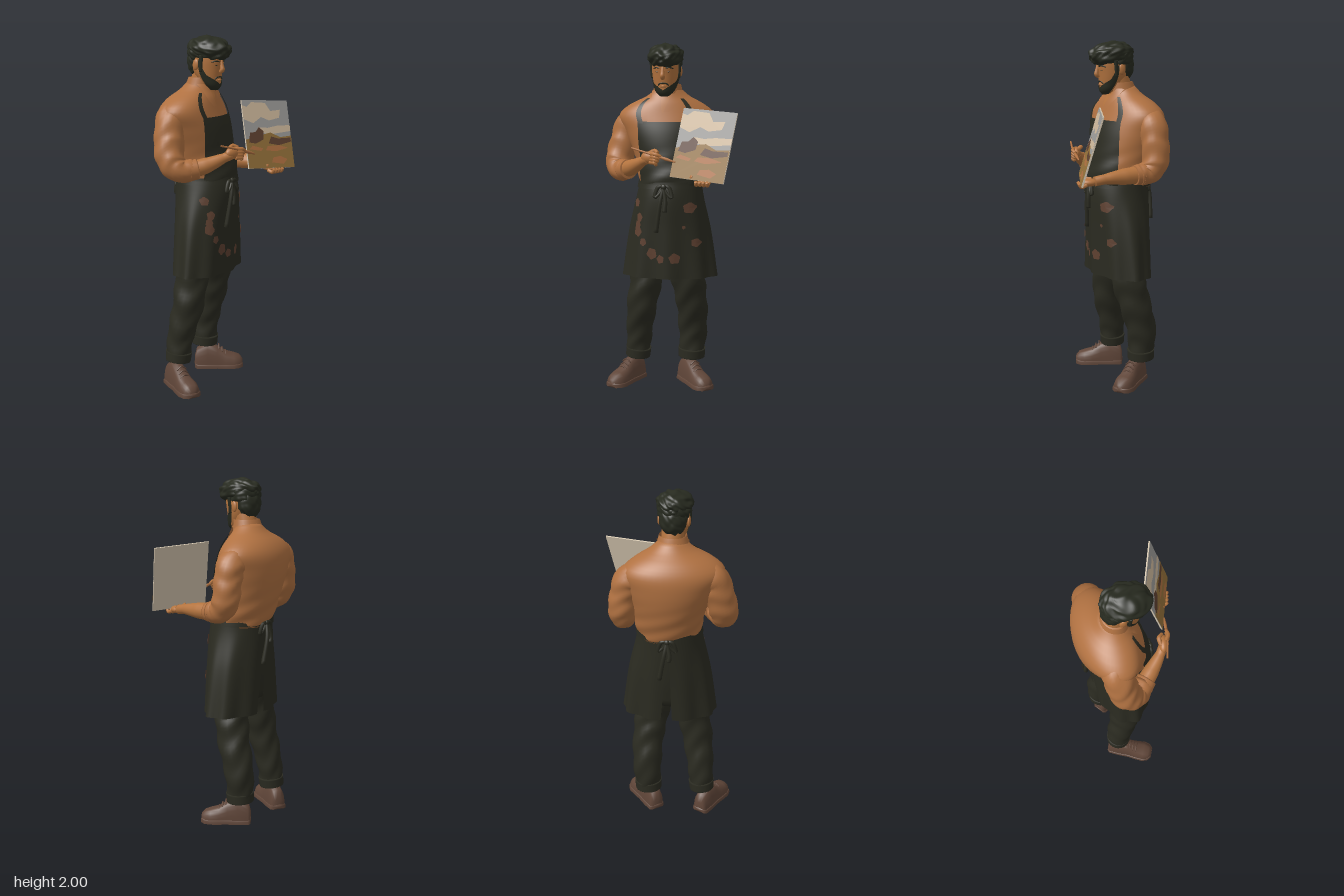
import * as THREE from 'three';
import { mergeVertices } from 'three/addons/utils/BufferGeometryUtils.js';

const V = (x, y, z) => new THREE.Vector3(x, y, z);
const RAD = Math.PI / 180;
const mat = (name, color) => Object.assign(new THREE.MeshStandardMaterial({ color, side: THREE.DoubleSide }), { name });

export function createModel() {
  const model = new THREE.Group();
  model.name = 'painter';
  const M = {
    shirt: mat('shirt tan', 0xb07141), skin: mat('skin', 0xb4743f), cloth: mat('dark cloth', 0x2b2b21),
    hair: mat('hair', 0x282b20), shoe: mat('shoe leather', 0x604639), brown: mat('paint brown', 0x5f4131),
    sky: mat('sky grey', 0x9c9b98), cream: mat('cloud cream', 0xcfb99c), ochre: mat('field ochre', 0x94713a),
    board: mat('board beige', 0xd8c9b2),
  };
  const add = (name, geo, material, parent = model) => {
    const m = new THREE.Mesh(geo, material);
    m.name = name;
    parent.add(m);
    return m;
  };

  // Surface through rows of points
  function skin(rows, closed = true, cap = true) {
    const n = rows[0].length, pos = [], idx = [];
    rows.forEach(r => r.forEach(p => pos.push(p.x, p.y, p.z)));
    for (let i = 0; i < rows.length - 1; i++) {
      for (let j = 0; j < (closed ? n : n - 1); j++) {
        const a = i * n + j, b = i * n + (j + 1) % n;
        idx.push(a, a + n, b, b, a + n, b + n);
      }
    }
    if (closed && cap) {
      [0, rows.length - 1].forEach(i => {
        const c = rows[i].reduce((s, p) => s.add(p), V(0, 0, 0)).divideScalar(n), k = pos.length / 3;
        pos.push(c.x, c.y, c.z);
        for (let j = 0; j < n; j++) {
          const a = i * n + j, b = i * n + (j + 1) % n;
          if (i) idx.push(k, b, a); else idx.push(k, a, b);
        }
      });
    }
    const g = new THREE.BufferGeometry();
    g.setAttribute('position', new THREE.Float32BufferAttribute(pos, 3));
    g.setIndex(idx);
    g.computeVertexNormals();
    return g;
  }

  // Round body from rings [y, centre x, centre z, half width, half depth]; 90 degrees is its front
  function body(rings, yaw = 0, fold = () => 0) {
    const f = new THREE.CubicInterpolant(rings.map(r => r[0]), rings.flatMap(r => r.slice(1)), 4, new Float32Array(4));
    const c = Math.cos(yaw * RAD), s = Math.sin(yaw * RAD);
    return (y, deg, off = 0) => {
      const [cx, cz, a, b] = f.evaluate(y), o = off + fold(y, deg);
      const x = Math.max(a + o, 0.002) * Math.cos(deg * RAD), z = Math.max(b + o, 0.002) * Math.sin(deg * RAD);
      return V(cx + x * c + z * s, y, cz - x * s + z * c);
    };
  }
  const loft = (surf, y0, y1, rows = 30, n = 48) => skin(Array.from({ length: rows + 1 }, (_, i) =>
    Array.from({ length: n }, (_, j) => surf(y0 + (y1 - y0) * i / rows, j * 360 / n))));
  // Part of a body: angle limits depend on height t, and top height may depend on angle
  const patch = (surf, a0, a1, y0, y1, off, rows = 16, n = 24) => skin(Array.from({ length: rows + 1 }, (_, i) =>
    Array.from({ length: n + 1 }, (_, j) => {
      const t = i / rows, deg = a0(t) + (a1(t) - a0(t)) * j / n;
      const top = typeof y1 === 'function' ? y1(deg) : y1;
      return surf(y0 + (top - y0) * t, deg, off);
    })), false);

  // Limb along points [x, y, z, radius]
  function limb(pts, n = 16, wrinkle = 0) {
    const curve = new THREE.CatmullRomCurve3(pts.map(p => V(p[0], p[1], p[2])));
    const steps = (pts.length - 1) * 8, fr = curve.computeFrenetFrames(steps);
    return skin(Array.from({ length: steps + 1 }, (_, i) => {
      const t = i / steps, k = t * (pts.length - 1), q = Math.min(Math.floor(k), pts.length - 2);
      const r = THREE.MathUtils.lerp(pts[q][3], pts[q + 1][3], k - q), c = curve.getPoint(t);
      return Array.from({ length: n }, (_, j) => {
        const a = j / n * Math.PI * 2, w = r * (1 + wrinkle * Math.sin(k * 7 + 2 * Math.sin(a * 2) + a));
        return c.clone().addScaledVector(fr.normals[i], w * Math.cos(a)).addScaledVector(fr.binormals[i], -w * Math.sin(a));
      });
    }));
  }
  const blob = (name, material, p, s, parent = model) => {
    const m = add(name, new THREE.SphereGeometry(1, 24, 16), material, parent);
    m.position.set(...p);
    m.scale.set(...s);
    return m;
  };

  // Shirt
  const torso = body([[1.18, -.045, -.02, .175, .165], [1.25, -.048, -.03, .19, .176], [1.35, -.06, -.05, .205, .18], [1.5, -.082, -.068, .253, .178],
    [1.6, -.095, -.074, .275, .155], [1.66, -.09, -.065, .205, .125], [1.7, -.078, -.053, .125, .092], [1.75, -.07, -.04, .066, .064]], 25,
    (y, d) => .004 * Math.sin(y * 60 + d * .08) * Math.max(0, 1.45 - y) * 4);
  add('shirt', loft(torso, 1.18, 1.75), M.shirt);
  const vee = t => 1 + 9 * t + 24 * t ** 4;
  add('chest', patch(torso, t => 95 - vee(t), t => 95 + vee(t), 1.61, 1.745, .005), M.skin);
  for (const s of [-1, 1]) add('collarFlap', patch(torso, t => 95 + s * vee(t), t => 95 + s * (vee(t) + 6 + 24 * t), 1.615, 1.735, .016), M.shirt);
  const collar = body([[1.68, -.077, -.05, .1, .09], [1.72, -.072, -.035, .083, .078], [1.77, -.068, -.025, .07, .068]], 22);
  add('collar', patch(collar, t => 126 - 6 * t, t => 424 + 6 * t, 1.68, 1.77, .005), M.shirt);

  // Sleeves with rolled cuffs, then forearms
  add('rightSleeve', limb([[-.2, 1.58, -.06, .075], [-.295, 1.55, -.01, .084], [-.327, 1.45, .012, .084], [-.347, 1.34, .045, .081],
    [-.327, 1.285, .09, .068], [-.255, 1.285, .13, .058]], 24, .035), M.shirt);
  add('rightCuff', limb([[-.275, 1.283, .122, .061], [-.235, 1.29, .145, .056]], 20), M.shirt);
  add('rightForearm', limb([[-.29, 1.28, .11, .05], [-.2, 1.305, .165, .045], [-.11, 1.345, .215, .027], [-.07, 1.36, .23, .026]]), M.skin);
  add('leftSleeve', limb([[.03, 1.57, -.15, .075], [.118, 1.54, -.176, .082], [.15, 1.45, -.186, .078], [.165, 1.34, -.187, .077],
    [.175, 1.285, -.15, .068], [.195, 1.275, -.085, .058]], 24, .035), M.shirt);
  add('leftCuff', limb([[.19, 1.275, -.1, .061], [.203, 1.273, -.06, .054]], 20), M.shirt);
  add('leftForearm', limb([[.19, 1.275, -.1, .05], [.222, 1.27, 0, .046], [.258, 1.265, .11, .028], [.265, 1.255, .17, .027]]), M.skin);

  // Hands
  blob('rightPalm', M.skin, [-.06, 1.37, .232], [.05, .034, .026]);
  blob('leftPalm', M.skin, [.262, 1.25, .2], [.034, .022, .048]);
  for (let i = 0; i < 4; i++) {
    const y = 1.392 - i * .016, x = .222 + i * .022;
    add('rightFinger', limb([[-.05, y, .243, .012], [-.01, y - .003, .255, .011], [.018 - i * .01, y - .014, .243, .009]], 8), M.skin);
    add('leftFinger', limb([[x, 1.24, .215, .011], [x + .008, 1.232, .245, .011], [x + .01, 1.25, .258, .009]], 8), M.skin);
  }
  add('rightThumb', limb([[-.075, 1.385, .22, .013], [-.04, 1.405, .205, .012], [-.012, 1.395, .222, .01]], 8), M.skin);
  add('leftThumb', limb([[.235, 1.26, .18, .013], [.205, 1.265, .215, .011], [.195, 1.275, .24, .009]], 8), M.skin);
  add('brush', limb([[-.16, 1.42, .25, .005], [-.04, 1.39, .252, .006], [.05, 1.364, .241, .009], [.1, 1.35, .235, .004]], 8), M.shirt);

  // Apron
  const skirt = body([[.66, -.045, -.007, .274, .155], [.95, -.045, -.008, .234, .167], [1.15, -.045, -.008, .19, .175],
    [1.22, -.045, -.015, .178, .171]], 20, (y, d) => .018 * Math.sin(d * RAD * 9) * Math.max(0, 1.15 - y));
  add('apronSkirt', patch(skirt, t => 279 - 8 * t, t => 625 + 4 * t, .668, 1.22, 0, 20, 90), M.cloth);
  add('waistband', patch(skirt, () => 0, () => 360, 1.185, 1.225, .007, 4, 60), M.cloth);
  add('apronBib', patch(torso, t => 40 + 18 * t, t => 156 - 30 * t, 1.2, 1.56, .012), M.cloth);
  add('rightStrap', patch(torso, t => 119 + 2 * t + 10 * t * t, t => 126 + t + 12 * t * t, 1.55, 1.69, .012, 12, 4), M.cloth);
  add('leftStrap', patch(torso, t => 58 - 2 * t, t => 65 - t, 1.55, 1.69, .012, 12, 4), M.cloth);
  // Bows and hanging ties, front and back
  for (const [name, deg, end, hang] of [['front', 97, .94, .008], ['back', 271, .97, .03]]) {
    const p = (d, y, off, r) => [...skirt(y, deg + d, off).toArray(), r];
    for (const s of [-1, 1]) {
      add(name + 'BowLoop', limb([p(0, 1.205, .008, .007), p(s * 9, 1.2, .01, .011), p(s * 14, 1.14, .008, .011), p(s * 7, 1.16, .008, .008), p(0, 1.2, .008, .007)], 8), M.cloth);
      add(name + 'Tie', limb([p(0, 1.2, .01, .01), p(s * 4, 1.12, hang, .012), p(s * 6 + 3, s > 0 ? end : end + .12, hang, .014)], 8), M.cloth);
    }
    blob(name + 'Knot', M.cloth, p(0, 1.2, .01).slice(0, 3), [.017, .017, .014]);
  }
  // Paint stains, placed by front x and y
  const onSkirt = (x, y) => {
    let lo = 15, hi = 175;
    for (let i = 0; i < 22; i++) { const m = (lo + hi) / 2; if (skirt(y, m).x > x) lo = m; else hi = m; }
    return skirt(y, lo, .006);
  };
  [[-.18, 1.1, .024], [-.155, 1.02, .024], [-.165, .94, .03], [-.13, .88, .022], [-.08, .815, .032], [-.03, .785, .024],
    [.045, .79, .03], [.115, 1.08, .03], [.145, .88, .024], [-.165, .98, .022], [.09, .97, .01]].forEach(([x, y, r], k) => {
    add('paintStain', skin([0, .5, 1].map(q => Array.from({ length: 20 }, (_, j) => {
      const a = -j / 20 * Math.PI * 2, w = q * r * (1 + .1 * Math.sin(a * 5 + k));
      return onSkirt(x + w * .85 * Math.cos(a), y + w * Math.sin(a));
    })), true, false), M.brown);
  });

  // Trousers
  const hips = body([[.74, -.06, -.015, .16, .1], [.9, -.05, -.02, .18, .13], [1.2, -.045, -.02, .165, .155]], 20);
  add('hips', loft(hips, .74, 1.2, 10), M.cloth);
  add('rightTrouser', limb([[-.262, .15, -.01, .068], [-.248, .3, -.002, .077], [-.215, .48, .026, .089], [-.182, .66, .022, .096], [-.15, .85, 0, .095]], 24, .05), M.cloth);
  add('leftTrouser', limb([[.037, .15, -.135, .072], [.045, .32, -.135, .085], [.055, .5, -.09, .092], [.045, .66, -.05, .1], [.03, .85, -.03, .105]], 24, .05), M.cloth);
  add('rightTurnup', limb([[-.263, .145, -.01, .073], [-.257, .2, -.008, .076]], 24), M.cloth);
  add('leftTurnup', limb([[.036, .145, -.135, .079], [.039, .2, -.133, .081]], 24), M.cloth);

  // Shoes from sections [z, half width, height]
  const sections = [[-.145, .03, .07], [-.132, .045, .12], [-.07, .05, .155], [-.01, .05, .13], [.04, .056, .095], [.09, .06, .08], [.125, .05, .068], [.145, .026, .045]];
  const shoeShape = (grow, flat) => skin(sections.map(([z, w, h]) => Array.from({ length: 24 }, (_, j) => {
    const a = j / 24 * Math.PI * 2, up = Math.max(0, -Math.sin(a)), c = Math.cos(a);
    return V(Math.sign(c) * Math.abs(c) ** .7 * (w + grow), (flat || h) * up ** (flat ? .3 : .8), z * (1 + grow));
  })));
  for (const [name, x, z, yaw] of [['rightShoe', -.3, .069, -10], ['leftShoe', .09, -.062, 54]]) {
    const g = new THREE.Group();
    g.name = name;
    g.position.set(x, 0, z);
    g.rotation.y = yaw * RAD;
    add('upper', shoeShape(0, 0), M.shoe, g);
    add('sole', shoeShape(.006, .028), M.shoe, g);
    for (let i = 0; i < 3; i++) add('lace', limb([[-.03, .118 - i * .016, i * .02, .004], [0, .138 - i * .019, i * .02, .005], [.03, .118 - i * .016, i * .02, .004]], 6), M.shoe, g);
    model.add(g);
  }

  // Head
  add('neck', limb([[-.075, 1.64, -.06, .066], [-.068, 1.72, -.035, .06], [-.062, 1.81, -.01, .06]], 24), M.skin);
  const head = new THREE.Group();
  head.name = 'head';
  head.position.set(-.062, 1.845, .008);
  head.rotation.set(6 * RAD, 14 * RAD, 0, 'YXZ');
  model.add(head);
  const skull = body([[-.136, 0, .062, .02, .022], [-.115, 0, .05, .045, .046], [-.07, 0, .022, .066, .076], [-.02, 0, .005, .077, .096],
    [.04, 0, 0, .08, .103], [.09, 0, -.005, .076, .095], [.13, 0, -.005, .045, .06]]);
  add('face', loft(skull, -.136, .13), M.skin, head);
  const beardTop = d => { const k = Math.abs(d - 90) / 90; return k > .7 ? -.054 + (k - .7) * .3 : -.1 + k * .066; };
  add('beard', patch(skull, () => 2, () => 178, -.136, beardTop, .005, 12, 40), M.hair, head);
  add('nose', limb([[0, .03, .098, .008], [0, .002, .107, .011], [0, -.02, .112, .014], [0, -.033, .1, .012]], 12), M.skin, head);
  add('lips', limb([[-.022, -.08, .09, .004], [0, -.078, .1, .007], [.022, -.08, .09, .004]], 8), M.skin, head);
  for (const s of [-1, 1]) {
    add('moustache', limb([[0, -.06, .098, .004], [s * .02, -.064, .092, .005], [s * .036, -.09, .077, .005]], 8), M.hair, head);
    add('eyebrow', limb([[s * .016, .022, .1, .003], [s * .036, .026, .093, .004], [s * .056, .018, .074, .003]], 8), M.hair, head);
    blob('eye', M.hair, [s * .032, .002, .093], [.009, .0025, .004], head);
    blob('ear', M.skin, [s * .08, -.005, -.012], [.01, .03, .02], head);
    add('sideburn', limb([[s * .078, .05, .02, .013], [s * .079, .01, .022, .01], [s * .076, -.04, .024, .008]], 8), M.hair, head);
  }
  // Curly hair: crown and nape, rippled
  function curls(name, p, s, depth) {
    const g = new THREE.SphereGeometry(1, 80, 50);
    g.deleteAttribute('uv');
    g.deleteAttribute('normal');
    const m = mergeVertices(g), a = m.attributes.position;
    for (let i = 0; i < a.count; i++) {
      const v = V().fromBufferAttribute(a, i);
      const k = 1 + depth * (Math.sin(v.x * 8 + 3 * Math.sin(v.z * 4 + v.y * 3)) + Math.sin(v.z * 9 + 3 * Math.sin(v.x * 4 - v.y * 5)) + Math.sin(v.y * 9 + 2 * Math.sin(v.x * 6))) / 2;
      v.multiplyScalar(k);
      a.setXYZ(i, v.x * s[0], v.y * s[1], v.z * s[2]);
    }
    m.computeVertexNormals();
    add(name, m, M.hair, head).position.set(...p);
  }
  curls('hairCrown', [.002, .081, .012], [.099, .069, .13], .06);
  curls('hairSides', [0, .055, -.03], [.09, .075, .082], .05);
  curls('hairNape', [0, .012, -.046], [.076, .092, .067], .04);

  // Painted board, tilted back
  const panel = new THREE.Group();
  panel.name = 'paintingBoard';
  const u = V(.32, -.022, .027).normalize(), n = u.clone().cross(V(.05, .372, -.109)).normalize();
  panel.quaternion.setFromRotationMatrix(new THREE.Matrix4().makeBasis(u, n.clone().cross(u), n));
  panel.position.set(.246, 1.442, .184);
  model.add(panel);
  const W = .33, H = .39;
  add('board', new THREE.BoxGeometry(W, H, .008), M.board, panel);
  // Picture areas in fractions of the board, each just above the last
  [['sky', M.sky, [0, 0, 1, 0, 1, 1, 0, 1]],
    ['upperCloud', M.cream, [0, .72, .2, .66, .38, .75, .55, .7, .78, .74, .82, .86, .6, .84, .5, .96, .2, .97, .1, .9, 0, .92]],
    ['lowerCloud', M.cream, [.25, .52, .6, .5, 1, .54, 1, .63, .7, .62, .5, .59, .3, .6]],
    ['field', M.ochre, [0, 0, 1, 0, 1, .47, .75, .45, .55, .52, .3, .48, 0, .42]],
    ['trees', M.brown, [.06, .38, .2, .36, .38, .42, .4, .54, .3, .6, .22, .53, .1, .52]],
    ['hedge', M.brown, [.48, .36, .7, .33, .98, .38, .98, .44, .7, .43, .55, .46]],
    ['path', M.shirt, [.4, .26, .62, .24, .9, .29, .7, .33, .45, .32]],
    ['dryGrass', M.shirt, [.05, .28, .3, .25, .34, .29, .12, .33]],
    ['foreground', M.shirt, [.5, .08, .75, .05, .85, .12, .7, .17, .54, .15]],
  ].forEach(([name, material, f], i) => {
    const pts = [];
    for (let k = 0; k < f.length; k += 2) pts.push(new THREE.Vector2((f[k] - .5) * W, (f[k + 1] - .5) * H));
    add(name, new THREE.ShapeGeometry(new THREE.Shape(pts)), material, panel).position.z = .0048 + i * .0006;
  });
  return model;
}
